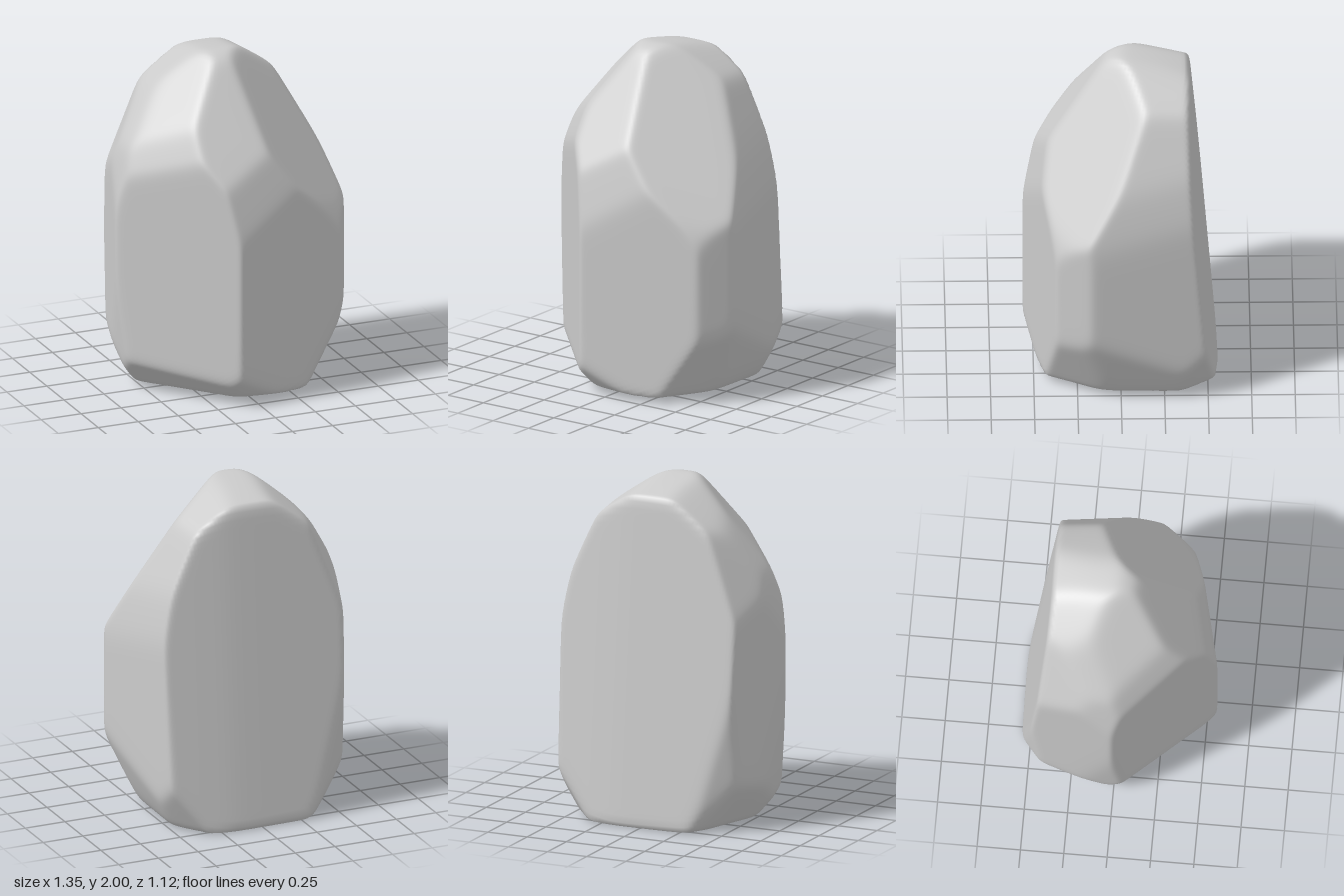
import * as THREE from 'three';
import { mergeVertices } from 'three/addons/utils/BufferGeometryUtils.js';

// Cut planes of the stone: outward direction and offset (n . p = d)
const cut = (x, y, z, d) => ({ n: new THREE.Vector3(x, y, z), d });

const WALLS = [
  cut(0.26, 0, 0.966, 0.509),     // front face
  cut(-0.72, 0, 0.69, 0.484),     // front side face
  cut(0.87, 0, 0.5, 0.678),       // front corner bevel
  cut(0.98, 0, -0.19, 0.634),     // +x side
  cut(-0.965, 0, -0.26, 0.654),   // -x side
  cut(-0.02, 0.084, -1, 0.56),    // back
  cut(0.12, 0.084, -0.99, 0.58),
  cut(-0.55, -0.08, -0.83, 0.642), // back corner bevel
];
const SLOPES = [
  cut(-0.1, 0.547, 0.837, 1.152), // upper front
  cut(0.12, 0.22, 0.968, 0.746),  // rounding above the front face
  cut(0.61, 0.526, 0.597, 1.09),  // upper front, +x
  cut(0.62, 0.3, 0.72, 0.902),
  cut(-0.68, 0.63, 0.365, 1.335), // upper front, -x
  cut(-0.74, 0.35, 0.56, 0.947),
];
const SHOULDERS = [
  cut(0.97, 0.2, -0.15, 0.844),   // +x, from low to high
  cut(0.9, 0.42, -0.1, 1.105),
  cut(0.6, 0.78, -0.1, 1.645),
  cut(0.5, 0.85, -0.1, 1.75),
  cut(-0.977, 0.215, 0, 0.9),     // -x, from low to high
  cut(-0.85, 0.35, -0.4, 1.08),
  cut(-0.83, 0.555, 0, 1.31),
  cut(-0.6, 0.77, -0.2, 1.645),
  cut(-0.5, 0.84, -0.2, 1.77),
  cut(0, 0.9, 0.43, 1.805),       // crown, from front to back
  cut(0, 0.99, -0.13, 1.983),
  cut(0, 0.95, -0.3, 1.948),
];
const FOOT = [
  cut(0, -1, 0.03, -0.007),       // base
  cut(-0.1, -0.6, 0.79, 0.356),   // front
  cut(-0.58, -0.66, 0.47, 0.262), // front, -x
  cut(0.8, -0.45, 0.4, 0.43),     // front, +x
  cut(0.93, -0.375, 0, 0.468),    // +x side
  cut(0.8, -0.6, 0, 0.388),
  cut(-0.994, -0.11, 0, 0.6),     // -x side
  cut(-0.8, -0.5, -0.3, 0.442),
  cut(-0.65, -0.4, -0.6, 0.53),   // back corners
  cut(0.7, -0.45, -0.55, 0.53),
];
const CENTRE = new THREE.Vector3(0, 0.9, 0);
const SHARPNESS = 70;

// Distance from the centre to the softly blended cut planes
function radius(dir, planes) {
  let sum = 0;
  for (const { n, d } of planes) {
    sum += Math.max(0, n.dot(dir) / (d - n.dot(CENTRE))) ** SHARPNESS;
  }
  return sum ** (-1 / SHARPNESS);
}

function stoneGeometry() {
  const planes = [...WALLS, ...SLOPES, ...SHOULDERS, ...FOOT];
  let geo = new THREE.IcosahedronGeometry(1, 56);
  geo.deleteAttribute('uv');
  geo.deleteAttribute('normal');
  geo = mergeVertices(geo, 1e-5);
  const pos = geo.attributes.position;
  const v = new THREE.Vector3();
  for (let i = 0; i < pos.count; i++) {
    v.fromBufferAttribute(pos, i).normalize();
    v.multiplyScalar(radius(v, planes)).add(CENTRE);
    pos.setXYZ(i, v.x, v.y, v.z);
  }
  geo.computeVertexNormals();
  return geo;
}

export function createModel() {
  const group = new THREE.Group();
  group.name = 'rock';
  const stone = new THREE.Mesh(stoneGeometry(), new THREE.MeshStandardMaterial({ color: 0xcccccc }));
  stone.name = 'stone';
  group.add(stone);
  return group;
}
